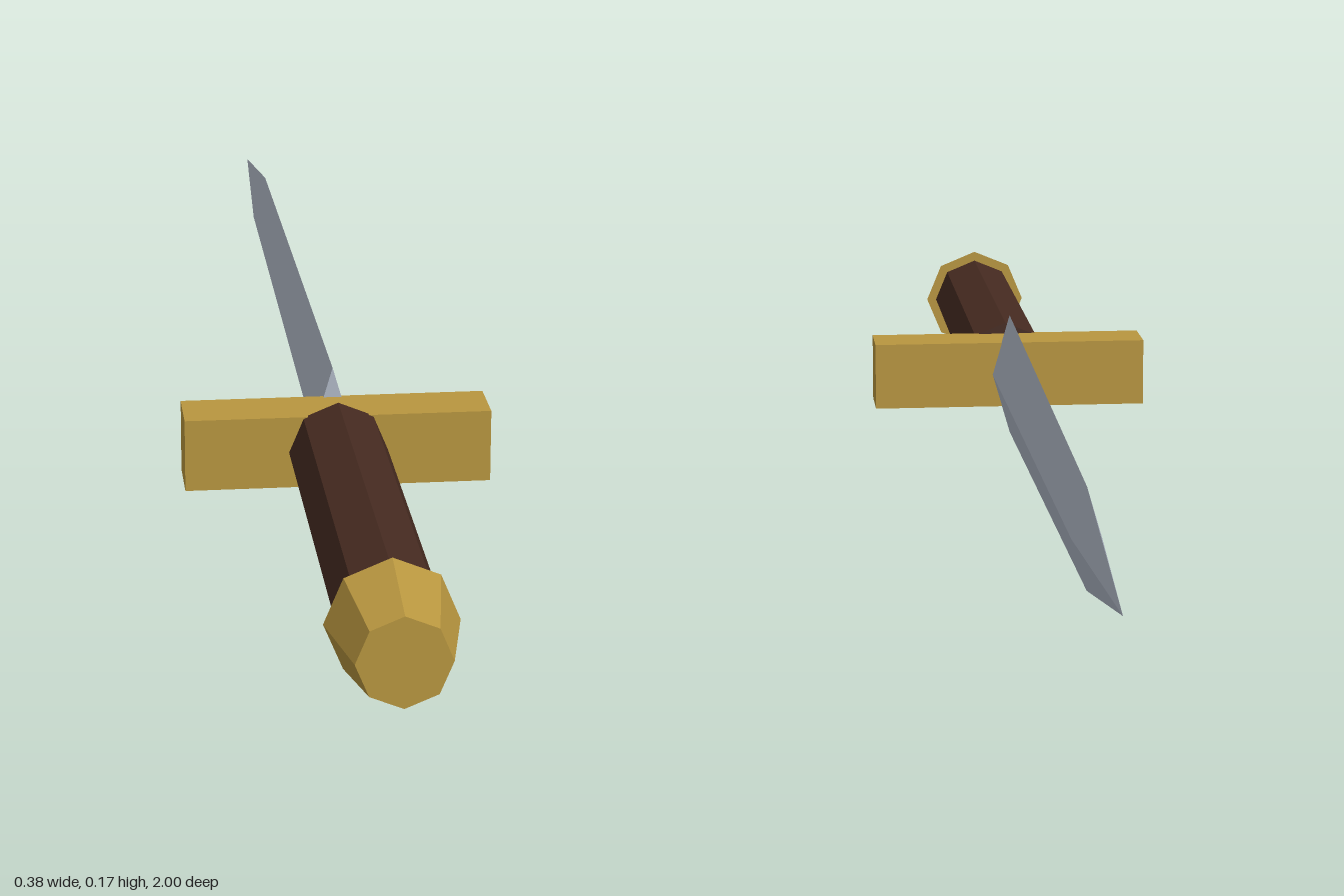
import * as THREE from 'three';

const AXIS_Y = 0.084; // height of the dagger's long axis

export function createModel() {
  const model = new THREE.Group();
  model.name = 'dagger';

  const material = (name, color) => {
    const m = new THREE.MeshStandardMaterial({ color, flatShading: true });
    m.name = name;
    return m;
  };
  const steel = material('steel', 0xb0b8c6);
  const gold = material('gold', 0xb8963f);
  const leather = material('dark leather', 0x452a20);

  const add = (name, geometry, mat, z = 0) => {
    const mesh = new THREE.Mesh(geometry, mat);
    mesh.name = name;
    mesh.position.set(0, AXIS_Y, z);
    model.add(mesh);
  };

  // Faceted rod along z, from zBack to zFront, with a corner pointing up
  const rod = (name, rBack, rFront, zBack, zFront, mat) => {
    const g = new THREE.CylinderGeometry(rFront, rBack, zFront - zBack, 8);
    add(name, g.rotateX(Math.PI / 2), mat, (zBack + zFront) / 2);
  };

  // Blade: four-sided diamond section, tapering in two stages to the tip
  const profile = [[0, -1], [0.061, -0.67], [0.084, 0.285], [0, 0.285]]
    .map(([r, z]) => new THREE.Vector2(r, z));
  const blade = new THREE.LatheGeometry(profile, 4);
  blade.rotateX(Math.PI / 2).scale(0.29, 1, 1);
  add('blade', blade, steel);

  // Hilt
  add('crossguard', new THREE.BoxGeometry(0.378, 0.091, 0.075), gold, 0.318);
  rod('grip', 0.061, 0.061, 0.35, 0.895, leather);
  rod('pommel', 0.075, 0.053, 0.89, 1, gold);

  return model;
}
